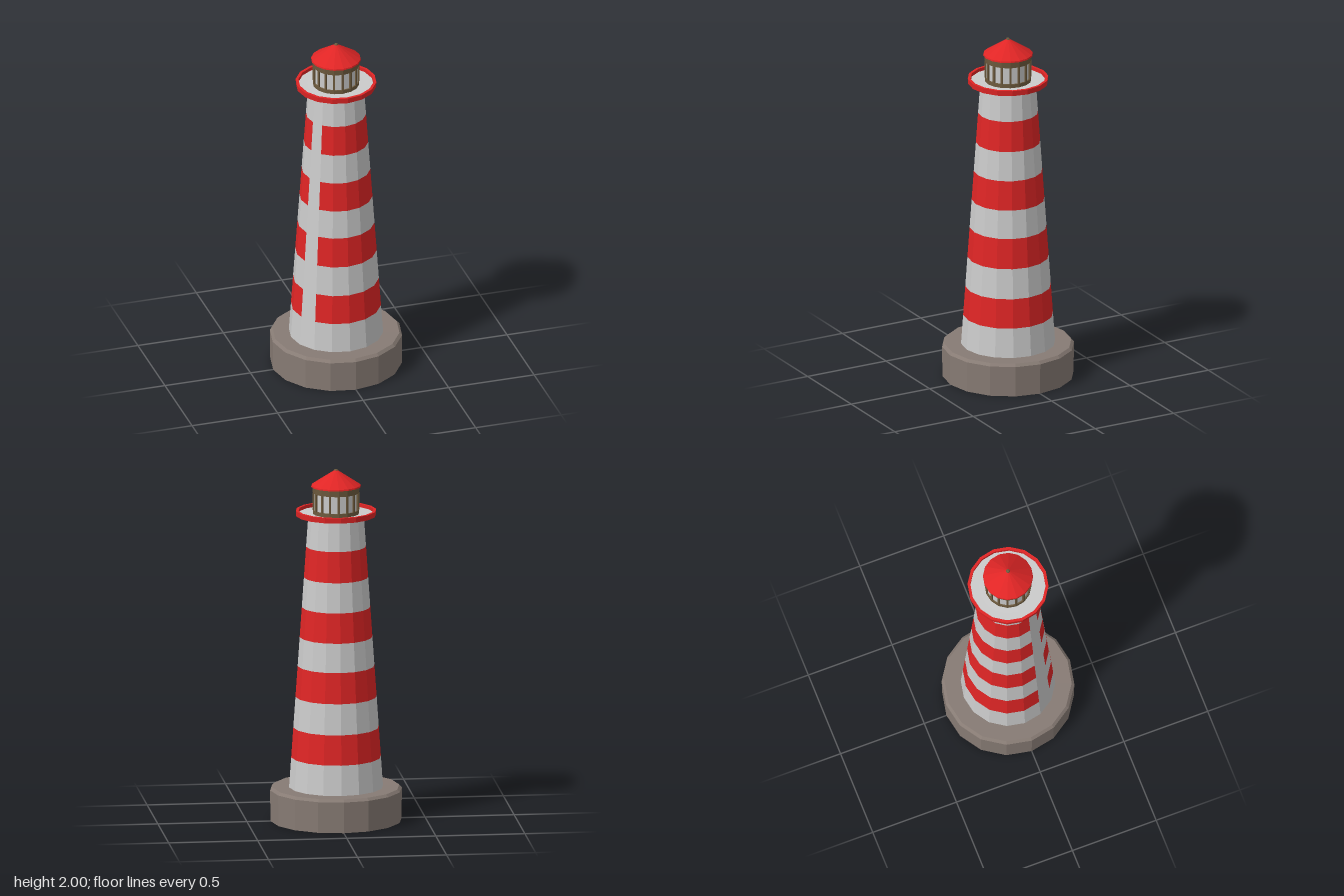
import * as THREE from 'three';

const SIDES = 16;
const STEP = (Math.PI * 2) / SIDES;

const material = (color) =>
  new THREE.MeshStandardMaterial({ color, flatShading: true, side: THREE.DoubleSide });
const grey = material(0xcccccc);
const red = material(0xe02525);
const stone = material(0x877b74);
const brown = material(0x6e5b3e);

export function createModel() {
  const model = new THREE.Group();
  model.name = 'lighthouse';

  const add = (name, geometry, mat, parent = model) => {
    const mesh = new THREE.Mesh(geometry, mat);
    mesh.name = name;
    parent.add(mesh);
    return mesh;
  };
  // Faceted solid of revolution from [radius, y] pairs, listed bottom to top
  const turned = (name, profile, mat, parent) =>
    add(name, new THREE.LatheGeometry(profile.map(([r, y]) => new THREE.Vector2(r, y)), SIDES), mat, parent);

  // Stone foundation with a small bevel
  turned('foundation', [[0, 0], [0.368, 0], [0.37, 0.175], [0.355, 0.19], [0, 0.188]], stone);

  // Tapered tower, striped; one column of facets stays grey through the red bands
  const tower = new THREE.Group();
  tower.name = 'tower';
  model.add(tower);
  const radiusAt = (y) => THREE.MathUtils.lerp(0.264, 0.156, (y - 0.185) / 1.55);
  const levels = [0.185, 0.36, 0.53, 0.705, 0.88, 1.045, 1.215, 1.385, 1.56, 1.735];
  const plainFacet = 13;
  const band = (name, y0, y1, mat, first, count) => {
    const geometry = new THREE.CylinderGeometry(
      radiusAt(y1), radiusAt(y0), y1 - y0, count, 1, true, first * STEP, count * STEP);
    add(name, geometry, mat, tower).position.y = (y0 + y1) / 2;
  };
  for (let i = 0; i < levels.length - 1; i++) {
    const [y0, y1] = [levels[i], levels[i + 1]];
    if (i % 2 === 0) {
      band('greyBand', y0, y1, grey, 0, SIDES);
    } else {
      band('redBand', y0, y1, red, plainFacet + 1, SIDES - 1);
      band('greyPanel', y0, y1, grey, plainFacet, 1);
    }
  }

  // Gallery: red rim and underside around a sunken grey floor
  turned('galleryRim', [[0.15, 1.735], [0.224, 1.735], [0.226, 1.765], [0.21, 1.765], [0.21, 1.745]], red);
  turned('galleryFloor', [[0.21, 1.746], [0.16, 1.746], [0, 1.75]], grey);

  // Lantern room: sill, panes, mullions and top band
  const lantern = new THREE.Group();
  lantern.name = 'lanternRoom';
  model.add(lantern);
  turned('lanternSill', [[0.13, 1.745], [0.13, 1.768], [0.12, 1.768]], brown, lantern);
  turned('lanternPanes', [[0.122, 1.765], [0.122, 1.868]], grey, lantern);
  turned('lanternBand', [[0.12, 1.865], [0.13, 1.865], [0.133, 1.903], [0, 1.903]], brown, lantern);
  for (let i = 0; i < SIDES; i++) {
    const mullion = add('mullion', new THREE.BoxGeometry(0.011, 0.1, 0.012), brown, lantern);
    mullion.position.set(Math.sin(i * STEP) * 0.124, 1.816, Math.cos(i * STEP) * 0.124);
    mullion.rotation.y = i * STEP;
  }

  // Conical roof with a thin eave and a tiny finial
  turned('roof', [[0, 1.9], [0.14, 1.9], [0.138, 1.908], [0.008, 1.993]], red);
  turned('finial', [[0.012, 1.989], [0.009, 1.997], [0, 2]], brown);

  return model;
}
